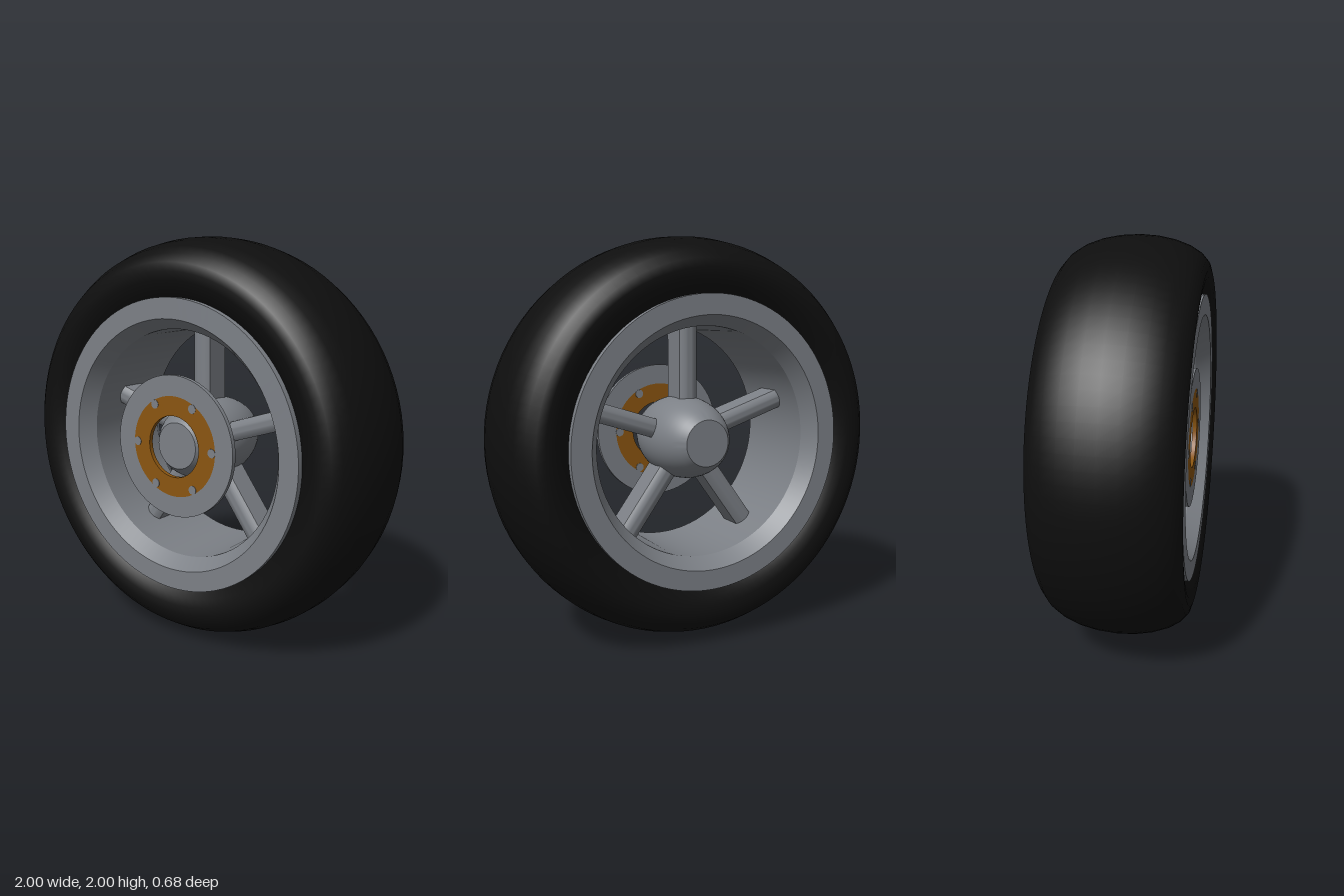
import * as THREE from 'three';
import { toCreasedNormals } from 'three/addons/utils/BufferGeometryUtils.js';

const flat = (name, color) => {
  const m = new THREE.MeshStandardMaterial({ color });
  m.name = name;
  return m;
};

export function createModel() {
  const rubber = flat('black rubber', 0x0e0e0e);
  const metal = flat('grey metal', 0x7c8086);
  const bronze = flat('bronze', 0x8a5510);

  const model = new THREE.Group();
  model.name = 'wheel';
  const wheel = new THREE.Group();
  wheel.name = 'wheelAssembly';
  wheel.position.y = 1;
  model.add(wheel);

  const add = (name, geometry, material, parent = wheel) => {
    const mesh = new THREE.Mesh(geometry, material);
    mesh.name = name;
    parent.add(mesh);
    return mesh;
  };

  // Solid of revolution about z from [radius, z] points, counter-clockwise
  const turned = (points, crease = 0.5) => {
    const g = new THREE.LatheGeometry(points.map(([r, z]) => new THREE.Vector2(r, z)), 96);
    return toCreasedNormals(g.rotateX(Math.PI / 2), crease);
  };
  const ring = (inner, outer, z0, z1) =>
    turned([[inner, z0], [outer, z0], [outer, z1], [inner, z1], [inner, z0]]);

  // Tyre: elliptical tread with sidewalls curving in to the rim
  const sidewall = [[0.69, 0.265], [0.72, 0.293], [0.76, 0.32], [0.80, 0.335]];
  const tread = [];
  for (let i = 0; i <= 12; i++) {
    const a = -Math.PI / 2 + (i / 12) * Math.PI;
    tread.push([0.84 + 0.16 * Math.cos(a), 0.34 * Math.sin(a)]);
  }
  add('tyre', turned([
    ...sidewall.map(([r, z]) => [r, -z]),
    ...tread,
    ...sidewall.slice().reverse(),
  ], 0.9), rubber);

  // Rim: flat lips, sloped shoulders and a straight inner barrel
  add('rim', turned([
    [0.567, -0.245], [0.62, -0.325], [0.72, -0.325],
    [0.72, 0.325], [0.62, 0.325], [0.567, 0.245], [0.567, -0.245],
  ]), metal);

  // Hub: barrel with flat ends
  const hub = [[0, -0.27]];
  for (let i = 0; i <= 16; i++) {
    const z = -0.27 + (i / 16) * 0.54;
    hub.push([0.21 * Math.sqrt(1 - (z / 0.323) ** 2), z]);
  }
  hub.push([0, 0.27]);
  add('hub', turned(hub), metal);

  // Spokes: straight sides, bulged front and back
  const section = new THREE.Shape();
  section.moveTo(-0.048, -0.065);
  section.quadraticCurveTo(0, -0.105, 0.048, -0.065);
  section.lineTo(0.048, 0.065);
  section.quadraticCurveTo(0, 0.105, -0.048, 0.065);
  section.closePath();
  const spoke = toCreasedNormals(
    new THREE.ExtrudeGeometry(section, { depth: 0.48, bevelEnabled: false, curveSegments: 10 })
      .translate(0, 0, 0.1).rotateX(-Math.PI / 2), 0.5);
  const spokes = new THREE.Group();
  spokes.name = 'spokes';
  wheel.add(spokes);
  for (let i = 0; i < 5; i++) {
    add('spoke', spoke, metal, spokes).rotation.z = (i / 5) * Math.PI * 2;
  }

  // Brake disc with its bronze carrier and six bolts
  const disc = new THREE.Group();
  disc.name = 'brakeDisc';
  wheel.add(disc);
  add('discRing', ring(0.25, 0.352, 0.272, 0.295), metal, disc);
  add('discCarrier', ring(0.153, 0.25, 0.272, 0.295), bronze, disc);
  const bolt = new THREE.CylinderGeometry(0.022, 0.022, 0.027, 20).rotateX(Math.PI / 2);
  for (let i = 0; i < 6; i++) {
    const a = (i / 6) * Math.PI * 2;
    add('discBolt', bolt, metal, disc).position.set(0.23 * Math.cos(a), 0.23 * Math.sin(a), 0.2835);
  }

  return model;
}
